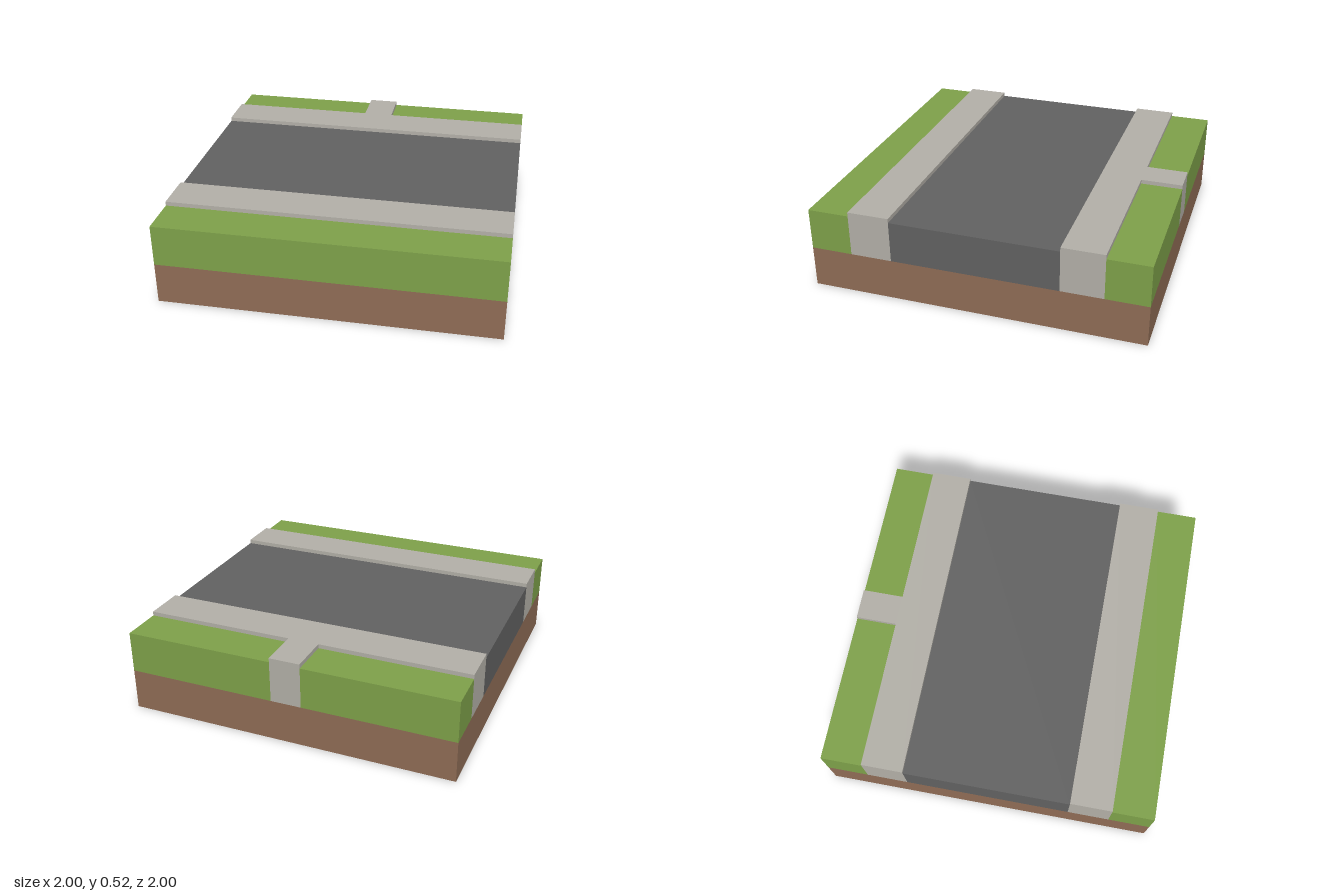
import * as THREE from 'three';

export function createModel() {
  const model = new THREE.Group();
  model.name = 'streetTile';

  const mat = (name, color) => {
    const m = new THREE.MeshStandardMaterial({ color, side: THREE.DoubleSide });
    m.name = name;
    return m;
  };
  const grass = mat('grass green', 0x7fa24a);
  const soil = mat('soil brown', 0x906d56);
  const asphalt = mat('asphalt grey', 0x626262);
  const paving = mat('paving stone', 0xb4b1a9);

  const SOIL = 0.25, GROUND = 0.5, WALK = 0.525; // heights
  const ROAD = 0.5, VERGE = 0.75, PATH = 0.093;  // half widths

  const add = (name, material, w, h) => {
    const mesh = new THREE.Mesh(new THREE.PlaneGeometry(w, h), material);
    mesh.name = name;
    model.add(mesh);
    return mesh;
  };
  // Horizontal surface facing up
  const top = (name, material, x0, x1, z0, z1, y) => {
    const m = add(name, material, x1 - x0, z1 - z0);
    m.rotation.x = -Math.PI / 2;
    m.position.set((x0 + x1) / 2, y, (z0 + z1) / 2);
  };
  // Upright surface facing +z or -z
  const wallZ = (name, material, x0, x1, y0, y1, z, dir) => {
    const m = add(name, material, x1 - x0, y1 - y0);
    m.rotation.y = dir > 0 ? 0 : Math.PI;
    m.position.set((x0 + x1) / 2, (y0 + y1) / 2, z);
  };
  // Upright surface facing +x or -x
  const wallX = (name, material, z0, z1, y0, y1, x, dir) => {
    const m = add(name, material, z1 - z0, y1 - y0);
    m.rotation.y = dir * Math.PI / 2;
    m.position.set(x, (y0 + y1) / 2, (z0 + z1) / 2);
  };

  // Upper surfaces; the block is a hollow shell open underneath
  top('road', asphalt, -1, 1, -ROAD, ROAD, GROUND);
  top('frontSidewalk', paving, -1, 1, ROAD, VERGE, WALK);
  top('backSidewalk', paving, -1, 1, -VERGE, -ROAD, WALK);
  top('frontLawn', grass, -1, 1, VERGE, 1, GROUND);
  top('footpath', paving, -PATH, PATH, -1, -VERGE, WALK);

  // Curbs along both sidewalks
  wallZ('frontCurb', paving, -1, 1, GROUND, WALK, ROAD, -1);
  wallZ('frontLawnEdge', paving, -1, 1, GROUND, WALK, VERGE, 1);
  wallZ('backCurb', paving, -1, 1, GROUND, WALK, -ROAD, 1);

  // Soil and lawn on the front and back faces
  for (const s of [1, -1]) wallZ('soilWall', soil, -1, 1, 0, SOIL, s, s);
  wallZ('frontLawnWall', grass, -1, 1, SOIL, GROUND, 1, 1);
  wallZ('footpathEnd', paving, -PATH, PATH, SOIL, WALK, -1, -1);

  // Left and right halves: back lawn around the footpath, and end faces
  for (const s of [1, -1]) {
    const x0 = s > 0 ? PATH : -1, x1 = s > 0 ? 1 : -PATH;
    top('backLawn', grass, x0, x1, -1, -VERGE, GROUND);
    wallZ('backLawnWall', grass, x0, x1, SOIL, GROUND, -1, -1);
    wallZ('backLawnEdge', paving, x0, x1, GROUND, WALK, -VERGE, -1);
    wallX('footpathEdge', paving, -1, -VERGE, GROUND, WALK, s * PATH, s);

    wallX('soilEnd', soil, -1, 1, 0, SOIL, s, s);
    wallX('roadEnd', asphalt, -ROAD, ROAD, SOIL, GROUND, s, s);
    for (const [a, b] of [[ROAD, VERGE], [-VERGE, -ROAD]])
      wallX('sidewalkEnd', paving, a, b, SOIL, WALK, s, s);
    for (const [a, b] of [[VERGE, 1], [-1, -VERGE]])
      wallX('lawnEnd', grass, a, b, SOIL, GROUND, s, s);
  }
  return model;
}
